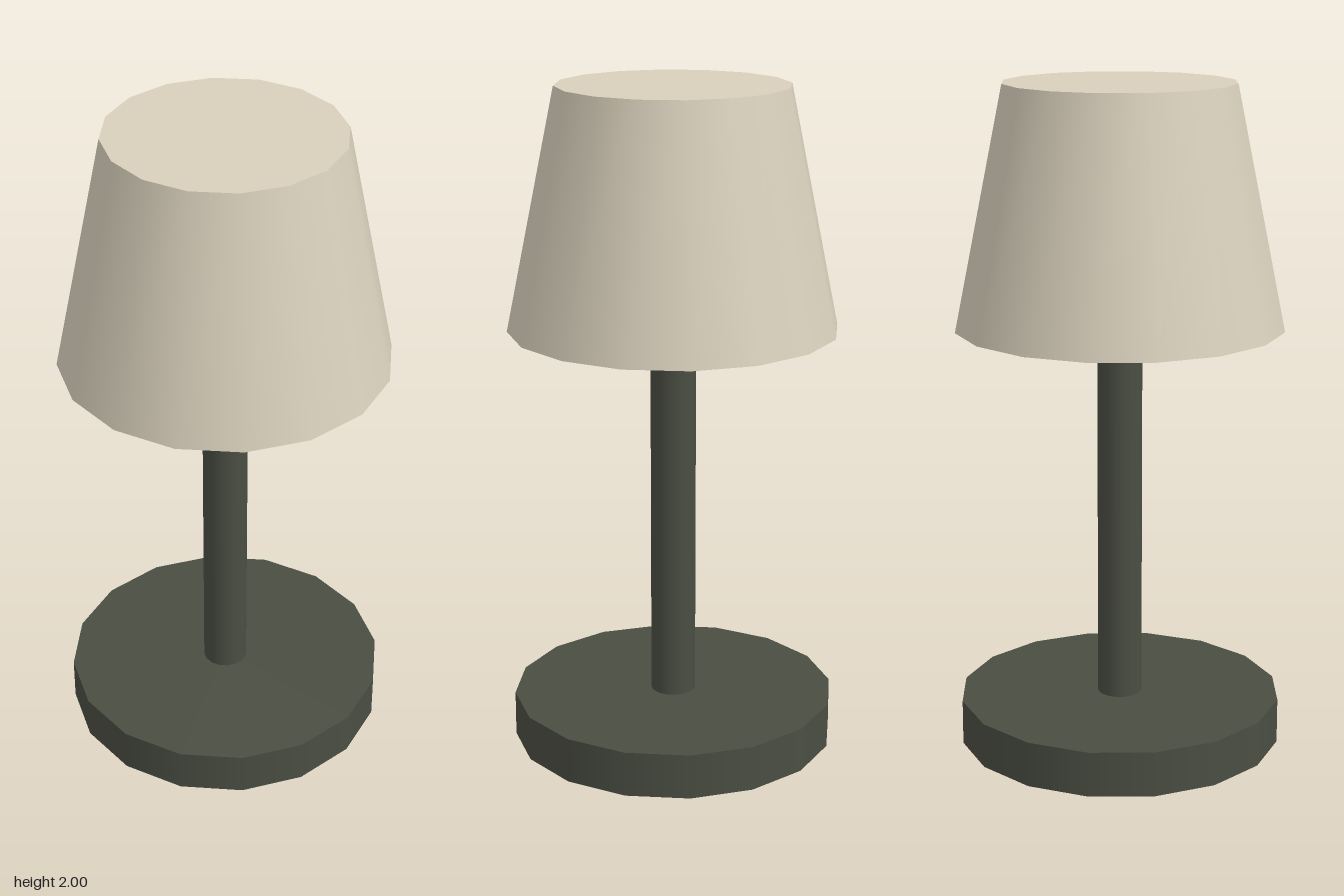
import * as THREE from 'three';

const SIDES = 16;

// Upright round part spanning y0..y1, smooth around its side
function roundPart(name, topRadius, bottomRadius, y0, y1, material) {
  const geometry = new THREE.CylinderGeometry(topRadius, bottomRadius, y1 - y0, SIDES);
  const mesh = new THREE.Mesh(geometry, material);
  mesh.name = name;
  mesh.position.y = (y0 + y1) / 2;
  return mesh;
}

export function createModel() {
  const lamp = new THREE.Group();
  lamp.name = 'tableLamp';

  const dark = new THREE.MeshStandardMaterial({ color: 0x4a4e42 });
  const cream = new THREE.MeshStandardMaterial({ color: 0xd9d0bc });

  lamp.add(
    roundPart('base', 0.49, 0.49, 0, 0.137, dark),
    roundPart('pole', 0.068, 0.068, 0.137, 1.285, dark),
    roundPart('shade', 0.343, 0.49, 1.285, 2, cream), // closed top and bottom
  );
  return lamp;
}
